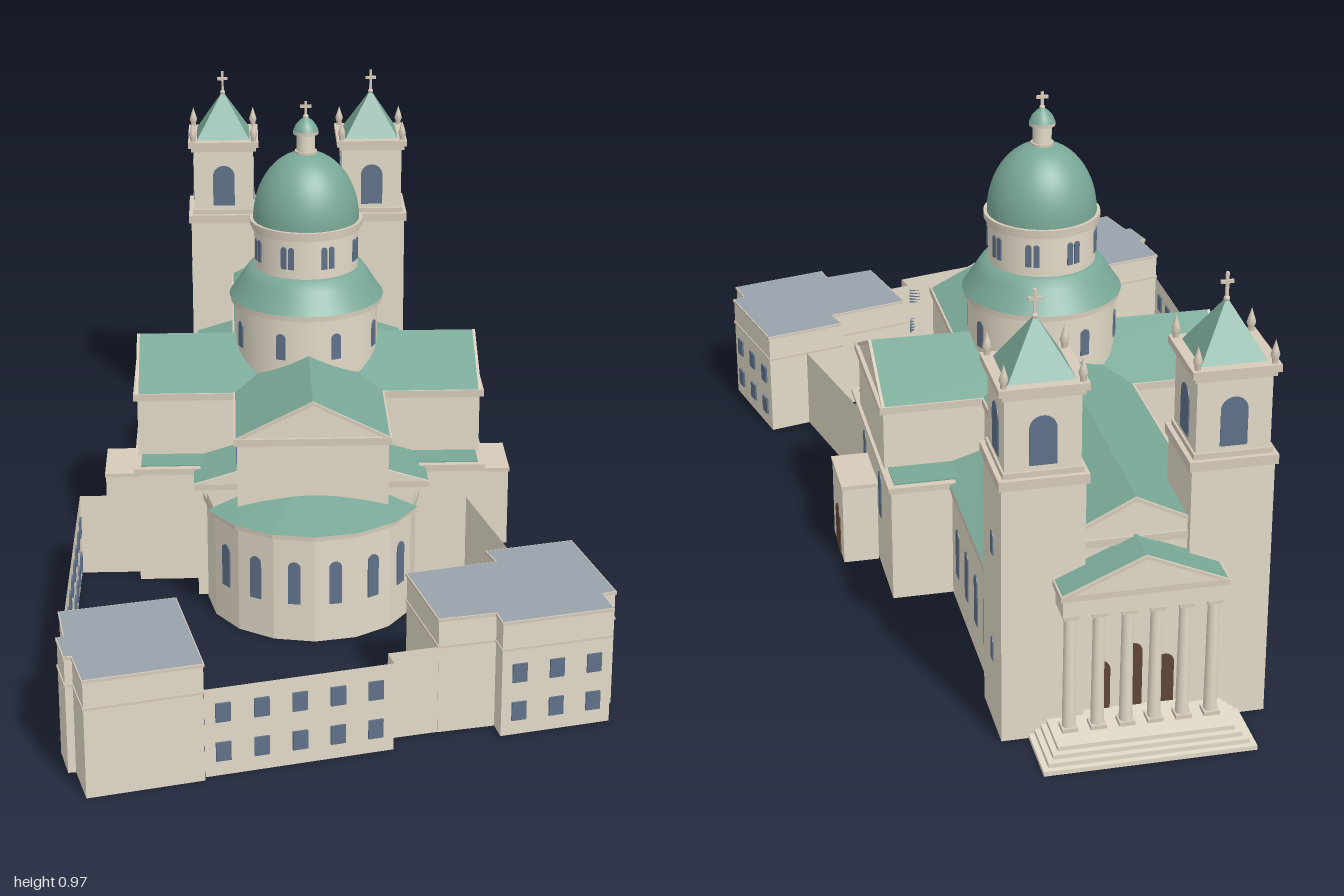
import * as THREE from 'three';

const mat = (name, color, side = THREE.FrontSide) => {
  const m = new THREE.MeshStandardMaterial({ color, side });
  m.name = name;
  return m;
};
const stone = mat('stone', 0xe2dac7, THREE.DoubleSide);
const trim = mat('trim', 0xd6cab9, THREE.DoubleSide);
const copper = mat('copper roof', 0x79a897, THREE.DoubleSide);
const slate = mat('grey roof', 0x99a2ab, THREE.DoubleSide);
const glass = mat('window glass', 0x5f7189);
const wood = mat('door wood', 0x5e4535);

function add(parent, name, geo, material, x = 0, y = 0, z = 0, ry = 0) {
  const m = new THREE.Mesh(geo, material);
  m.name = name;
  m.position.set(x, y, z);
  m.rotation.y = ry;
  parent.add(m);
  return m;
}
function group(parent, name, x = 0, y = 0, z = 0, ry = 0) {
  const g = new THREE.Group();
  g.name = name;
  g.position.set(x, y, z);
  g.rotation.y = ry;
  parent.add(g);
  return g;
}
// box from its extents; boxes standing on the ground are open below
function box(p, name, m, x0, x1, y0, y1, z0, z1) {
  const geo = new THREE.BoxGeometry(x1 - x0, y1 - y0, z1 - z0);
  if (y0 === 0) {
    geo.setIndex([...geo.index.array].filter((_, i) => i < 18 || i >= 24));
    geo.clearGroups();
  }
  return add(p, name, geo, m, (x0 + x1) / 2, (y0 + y1) / 2, (z0 + z1) / 2);
}

const polygon = (pts) => new THREE.Shape(pts.map(([x, y]) => new THREE.Vector2(x, y)));
const extrude = (shape, depth) => new THREE.ExtrudeGeometry(shape, { depth, bevelEnabled: false, curveSegments: 8 });
const flat = (geo) => {
  const g = geo.toNonIndexed();
  g.computeVertexNormals();
  return g;
};

// round-headed thin plate, bottom centre at the given point, facing local +z
function arch(p, name, m, w, h, x, y, z, ry = 0) {
  const s = new THREE.Shape(), r = w / 2;
  s.moveTo(-r, 0);
  s.lineTo(r, 0);
  s.lineTo(r, h - r);
  s.absarc(0, h - r, r, 0, Math.PI, false);
  s.lineTo(-r, 0);
  return add(p, name, extrude(s, 0.004), m, x, y, z, ry);
}

// pitched roof along local z with stone gables and a thin raking trim
function gable(p, name, w, h, len, x, y, z, ry = 0) {
  const g = group(p, name, x, y, z, ry), a = w / 2, t = 0.007;
  const chevron = polygon([[-a, 0], [0, h], [a, 0], [a - 0.014, 0], [0, h - t], [0.014 - a, 0]]);
  add(g, 'gable wall', extrude(polygon([[-a + 0.006, 0], [a - 0.006, 0], [0, h - 0.004]]), len - 0.006), stone, 0, 0, -len / 2 + 0.003);
  add(g, 'roof', extrude(chevron, len - 0.012), copper, 0, 0, -len / 2 + 0.006);
  for (const s of [-len / 2, len / 2 - 0.006]) add(g, 'raking trim', extrude(chevron, 0.006), trim, 0, 0, s);
}

function cross(p, x, y, z, h) {
  const g = group(p, 'cross', x, y, z), t = 0.0028;
  box(g, 'cross post', trim, -t, t, 0, h, -t, t);
  box(g, 'cross arm', trim, -0.012, 0.012, h * 0.58, h * 0.58 + 0.006, -t, t);
  add(g, 'cross ball', new THREE.SphereGeometry(0.006, 10, 8), trim);
}

function tower(p, x) {
  const t = group(p, 'tower', x, 0, -0.799);
  const slab = (name, m, a, y0, y1) => box(t, name, m, -a, a, y0, y1, -a, a);
  slab('shaft', stone, 0.0765, 0, 0.52);
  slab('middle cornice', trim, 0.082, 0.515, 0.534);
  slab('belfry', stone, 0.069, 0.534, 0.69);
  slab('belfry foot', trim, 0.073, 0.534, 0.545);
  slab('upper cornice', trim, 0.075, 0.685, 0.695);
  slab('upper ledge', trim, 0.081, 0.695, 0.709);
  const spire = new THREE.ConeGeometry(0.061 * Math.SQRT2, 0.102, 4).rotateY(Math.PI / 4);
  add(t, 'spire', flat(spire), copper, 0, 0.76, 0);
  cross(t, 0, 0.808, 0, 0.05);
  for (let i = 0; i < 4; i++) {
    const face = group(t, 'tower face', 0, 0, 0, i * Math.PI / 2);
    arch(face, 'belfry window', glass, 0.05, 0.095, 0, 0.555, 0.067);
    const c = group(face, 'pinnacle', 0.07, 0.709, 0.07);
    const prof = [[0.006, 0], [0.006, 0.008], [0.009, 0.016], [0.006, 0.026], [0, 0.045]];
    add(c, 'pinnacle body', new THREE.LatheGeometry(prof.map(([r, y]) => new THREE.Vector2(r, y)), 8), trim);
  }
  const out = Math.sign(x);
  for (const y of [0.13, 0.35]) arch(t, 'shaft window', glass, 0.02, 0.045, out * 0.0745, y, 0, out * Math.PI / 2);
}

function dome(p) {
  const d = group(p, 'dome', 0, 0, -0.105);
  const lathe = (name, m, pts) =>
    add(d, name, new THREE.LatheGeometry(pts.map(([r, y]) => new THREE.Vector2(r, y)), 48), m);
  const ring = (name, m, r, y0, y1) =>
    add(d, name, new THREE.CylinderGeometry(r, r, y1 - y0, 48), m, 0, (y0 + y1) / 2, 0);
  ring('lower drum', stone, 0.149, 0.38, 0.55);
  ring('lower cornice', trim, 0.158, 0.543, 0.555);
  lathe('skirt roof', copper, [[0.161, 0.555], [0.147, 0.575], [0.132, 0.599], [0.12, 0.616], [0.105, 0.618]]);
  ring('upper drum', stone, 0.108, 0.61, 0.705);
  ring('upper cornice', trim, 0.113, 0.7, 0.708);
  ring('upper ledge', trim, 0.117, 0.708, 0.719);
  const shell = [];
  for (let i = 0; i <= 16; i++) {
    const a = (i / 16) * Math.PI / 2;
    shell.push([0.11 * Math.cos(a), 0.719 + 0.142 * Math.sin(a)]);
  }
  lathe('dome shell', copper, shell);
  ring('lantern', stone, 0.019, 0.85, 0.9);
  ring('lantern foot', trim, 0.023, 0.852, 0.863);
  ring('lantern cornice', trim, 0.026, 0.898, 0.905);
  lathe('lantern cap', copper, [[0.026, 0.905], [0.021, 0.917], [0.012, 0.927], [0.003, 0.934], [0, 0.937]]);
  cross(d, 0, 0.934, 0, 0.032);
  const on = (a, r, w, h, y) => arch(d, 'drum window', glass, w, h, Math.sin(a) * r, y, Math.cos(a) * r, a);
  for (let i = 0; i < 8; i++) {
    const a = (i + 0.5) * Math.PI / 4;
    on(a, 0.147, 0.02, 0.056, 0.455);
    for (const s of [-0.075, 0.075]) on(a + s, 0.1065, 0.012, 0.047, 0.638);
  }
}

function apse(p) {
  const a = group(p, 'apse', 0, 0, 0.2), seg = Math.PI / 8;
  const shell = (r, h, n, top = r) => flat(new THREE.CylinderGeometry(top, r, h, n, 1, true, -n * seg / 2, n * seg));
  add(a, 'apse wall', shell(0.212, 0.232, 8), stone, 0, 0.116, 0);
  add(a, 'apse cornice', shell(0.219, 0.014, 8), trim, 0, 0.227, 0);
  add(a, 'apse roof', shell(0.227, 0.06, 6, 0.001), copper, 0, 0.263, 0);
  for (let i = -2.5; i <= 2.5; i++) {
    const t = i * seg, r = 0.212 * Math.cos(seg / 2) - 0.001;
    arch(a, 'apse window', glass, 0.025, 0.09, Math.sin(t) * r, 0.08, Math.cos(t) * r, t);
  }
}

function portico(p) {
  const g = group(p, 'portico');
  for (let i = 0; i < 4; i++) {
    const o = 0.011 * (3 - i);
    box(g, 'step', stone, -0.165 - o, 0.165 + o, i * 0.009, (i + 1) * 0.009, -0.967 - o, -0.84);
  }
  for (let i = 0; i < 6; i++) {
    const x = -0.1325 + i * 0.053;
    add(g, 'column', new THREE.CylinderGeometry(0.0105, 0.0125, 0.23, 16), stone, x, 0.155, -0.913);
    box(g, 'column base', trim, x - 0.015, x + 0.015, 0.036, 0.044, -0.928, -0.898);
    box(g, 'capital', trim, x - 0.014, x + 0.014, 0.27, 0.28, -0.927, -0.899);
  }
  box(g, 'entablature', stone, -0.15, 0.15, 0.28, 0.316, -0.933, -0.85);
  box(g, 'entablature cornice', trim, -0.155, 0.155, 0.314, 0.326, -0.938, -0.85);
  gable(g, 'portico pediment', 0.308, 0.067, 0.09, 0, 0.325, -0.896);
  for (const x of [-0.06, 0, 0.06]) arch(g, 'front door', wood, 0.034, x ? 0.1 : 0.13, x, 0.036, -0.859, Math.PI);
}

function church(p) {
  const c = group(p, 'church', -0.035);
  // high nave and transept
  box(c, 'nave', stone, -0.15, 0.15, 0, 0.38, -0.86, 0.3);
  box(c, 'nave cornice', trim, -0.156, 0.156, 0.375, 0.39, -0.864, 0.306);
  gable(c, 'nave roof', 0.308, 0.077, 1.166, 0, 0.389, -0.28);
  box(c, 'transept', stone, -0.354, 0.354, 0, 0.38, -0.257, 0.047);
  box(c, 'transept cornice', trim, -0.362, 0.362, 0.375, 0.39, -0.264, 0.054);
  gable(c, 'transept roof', 0.314, 0.077, 0.714, 0, 0.389, -0.105, Math.PI / 2);
  // lower transept block with a stepped cornice
  box(c, 'lower transept', stone, -0.354, 0.354, 0, 0.24, -0.335, 0.113);
  box(c, 'lower transept cornice', trim, -0.357, 0.357, 0.236, 0.244, -0.339, 0.117);
  box(c, 'lower transept ledge', trim, -0.361, 0.361, 0.244, 0.252, -0.344, 0.122);
  for (const [z0, z1] of [[-0.33, -0.257], [0.047, 0.108]])
    box(c, 'corner roof', copper, -0.347, 0.347, 0.25, 0.2545, z0, z1);
  // aisles with lean-to roofs and stone end walls
  box(c, 'aisles', stone, -0.232, 0.232, 0, 0.24, -0.8, 0.189);
  box(c, 'aisle cornice', trim, -0.238, 0.238, 0.235, 0.248, -0.8, 0.195);
  const lean = polygon([[-0.238, 0.248], [0.238, 0.248], [0.15, 0.275], [-0.15, 0.275]]);
  add(c, 'aisle roof', extrude(lean, 0.99), copper, 0, 0, -0.8);
  add(c, 'aisle end', extrude(lean, 0.004), stone, 0, 0, 0.19);

  for (const s of [-1, 1]) {
    const ry = s * Math.PI / 2;
    for (const z of [0.15, 0.08, -0.37, -0.44, -0.51, -0.58, -0.655])
      arch(c, 'clerestory window', glass, 0.028, 0.058, s * 0.148, 0.28, z, ry);
    for (const z of [-0.39, -0.48, -0.57, -0.66]) arch(c, 'aisle window', glass, 0.028, 0.105, s * 0.23, 0.066, z, ry);
    for (const z of [-0.01, -0.198]) arch(c, 'transept window', glass, 0.028, 0.1, s * 0.352, 0.115, z, ry);
    // side porch
    const x = s * 0.392;
    box(c, 'side porch', stone, x - 0.036, x + 0.036, 0, 0.17, -0.172, -0.038);
    box(c, 'porch cornice', trim, x - 0.038, x + 0.038, 0.168, 0.176, -0.175, -0.035);
    arch(c, 'side door', wood, 0.052, 0.1, s * 0.426, 0, -0.105, ry);
    tower(c, s * 0.172);
  }
  // round window on one transept end
  const rose = group(c, 'rose window', -0.354, 0.315, -0.105, -Math.PI / 2);
  add(rose, 'rose glass', new THREE.CylinderGeometry(0.042, 0.042, 0.006, 24).rotateX(Math.PI / 2), glass);
  add(rose, 'rose frame', new THREE.TorusGeometry(0.043, 0.003, 6, 24), trim);
  dome(c);
  apse(c);
  portico(c);
}

// local frame along a ground segment, outward side on local +z
function along(p, name, [ax, az], [bx, bz]) {
  const g = group(p, name, (ax + bx) / 2, 0, (az + bz) / 2, -Math.atan2(bz - az, bx - ax));
  return [g, Math.hypot(bx - ax, bz - az)];
}
function wall(p, a, b, h = 0.175) {
  const [g, l] = along(p, 'wall segment', a, b);
  add(g, 'wall', new THREE.PlaneGeometry(l, h), stone, 0, h / 2, 0);
  return [g, l];
}
function windowRows(p, a, b, n, margin) {
  const [g, l] = along(p, 'window rows', a, b);
  for (let i = 0; i < n; i++) {
    const x = (i / (n - 1) - 0.5) * (l - 2 * margin);
    for (const y of [0.03, 0.108]) box(g, 'window', glass, x - 0.014, x + 0.014, y, y + 0.037, 0, 0.004);
  }
}
// low outer building, open below, with a flat grey roof
function outbuilding(p, pts) {
  const g = group(p, 'outbuilding');
  pts.forEach((a, i) => {
    const [side, l] = wall(g, a, pts[(i + 1) % pts.length], 0.23);
    const e = l / 2 + 0.002;
    box(side, 'string course', trim, -e, e, 0.173, 0.178, -0.002, 0.002);
    box(side, 'eaves', trim, -e, e, 0.226, 0.232, -0.002, 0.002);
  });
  const roof = new THREE.ShapeGeometry(polygon(pts.map(([x, z]) => [x, -z]))).rotateX(-Math.PI / 2);
  add(g, 'outbuilding roof', roof, slate, 0, 0.2325, 0);
}

export function createModel() {
  const model = new THREE.Group();
  model.name = 'domed church with courtyard';
  church(model);
  outbuilding(model, [[0.132, 0.593], [0.307, 0.548], [0.291, 0.5], [0.46, 0.458], [0.513, 0.683], [0.487, 0.692],
    [0.499, 0.753], [0.292, 0.804], [0.284, 0.764], [0.177, 0.785]]);
  outbuilding(model, [[-0.513, 0.73], [-0.302, 0.68], [-0.249, 0.943], [-0.457, 0.997], [-0.48, 0.905], [-0.494, 0.907],
    [-0.511, 0.834], [-0.498, 0.83]]);
  const path = [[-0.249, 0.932], [0.092, 0.845], [0.083, 0.806], [0.185, 0.782]];
  for (let i = 0; i < 3; i++) wall(model, path[i], path[i + 1]);
  wall(model, [-0.38, 0.077], [-0.512, 0.077]);
  wall(model, [-0.512, 0.077], [-0.512, 0.73]);
  wall(model, [0.288, 0.11], [0.374, 0.48]);
  windowRows(model, path[0], path[1], 5, 0.034);
  windowRows(model, [0.292, 0.804], [0.499, 0.753], 3, 0.034);
  windowRows(model, [0.513, 0.683], [0.46, 0.458], 3, 0.038);
  windowRows(model, [-0.512, 0.72], [-0.512, 0.09], 9, 0.04);
  return model;
}
